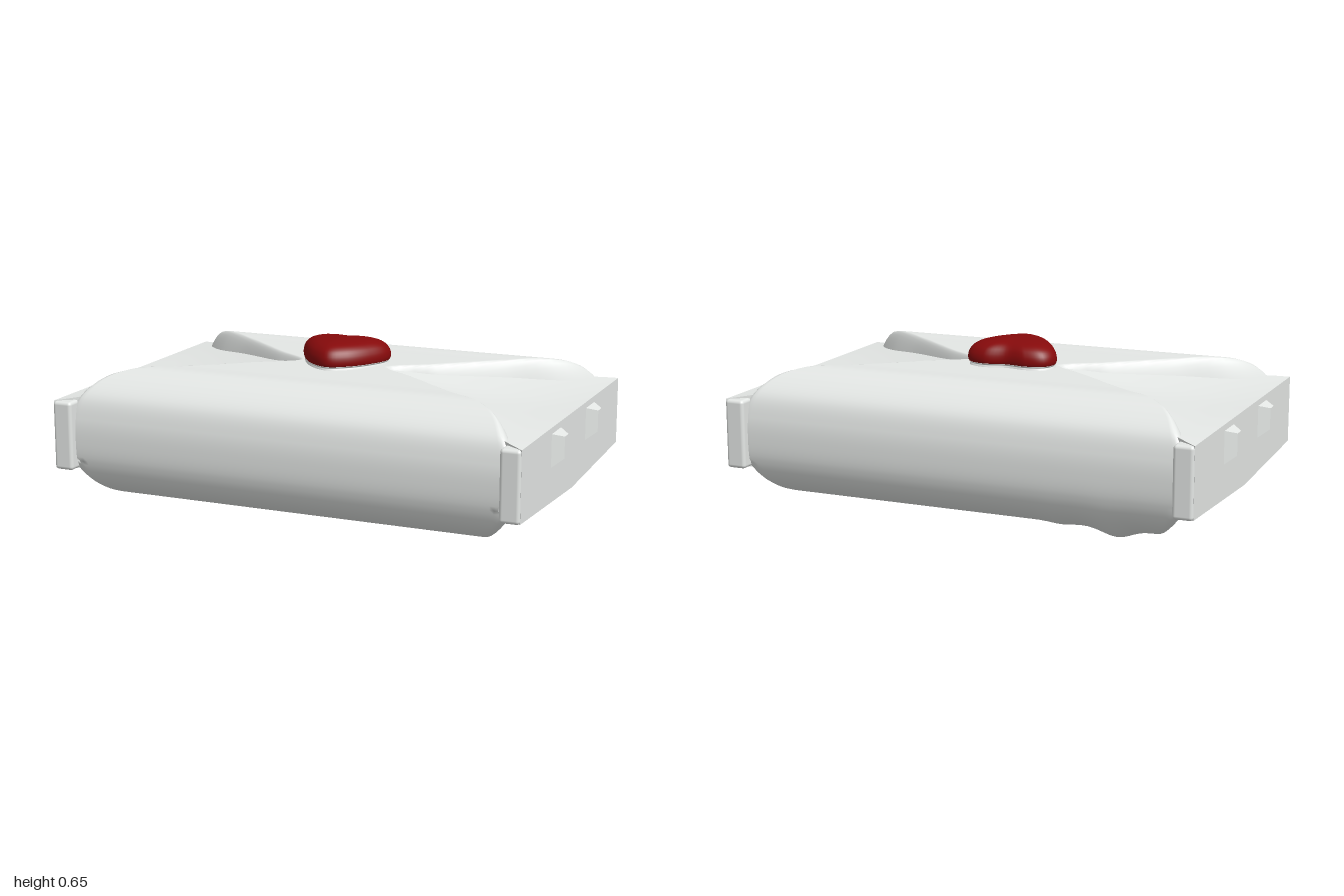
import * as THREE from 'three';
import { ParametricGeometry } from 'three/addons/geometries/ParametricGeometry.js';
import { RoundedBoxGeometry } from 'three/addons/geometries/RoundedBoxGeometry.js';

const paper = new THREE.MeshStandardMaterial({ color: 0xe4e7e5 });
paper.name = 'paper white';
const wax = new THREE.MeshStandardMaterial({ color: 0x860a0b });
wax.name = 'wax red';

function add(parent, name, geometry, material) {
  const mesh = new THREE.Mesh(geometry, material);
  mesh.name = name;
  parent.add(mesh);
  return mesh;
}

// Padded front and back flaps: a closed loop of (half width, y, z) swept across x
function flapsGeometry() {
  const half = [
    [0.39, 0.55, 0.12], [0.61, 0.55, 0.3], [0.78, 0.549, 0.42], [0.87, 0.518, 0.51],
    [0.92, 0.455, 0.585], [0.94, 0.37, 0.612], [0.94, 0.29, 0.618], [0.94, 0.2, 0.61],
    [0.92, 0.13, 0.58], [0.88, 0.07, 0.51], [0.82, 0.033, 0.4], [0.64, 0.046, 0.27],
    [0.42, 0.08, 0.12],
  ];
  const back = half.map(([w, y, z]) => new THREE.Vector3(w, y, -z));
  const front = half.map(([w, y, z]) => new THREE.Vector3(w, y, z)).reverse();
  const loop = new THREE.CatmullRomCurve3([
    new THREE.Vector3(0.24, 0.55, 0), ...back, new THREE.Vector3(0.24, 0.1, 0), ...front,
  ], true);
  const p = new THREE.Vector3();
  return new ParametricGeometry((u, v, target) => {
    loop.getPoint(v, p);
    const t = Math.sin((u - 0.5) * Math.PI);
    const x = p.x * t;
    // tuck the flap edge into the crease
    const band = p.y < 0.2 ? 0.09 : 0.06;
    const k = Math.max(0, 1 - (p.x * (1 - Math.abs(t))) / band) ** 2;
    let y = p.y + (0.29 - p.y) * 0.46 * k;
    // sagging wrinkles under the back flap
    if (p.y < 0.28) {
      y -= 0.032 * Math.exp(-(((x + 0.6) / 0.07) ** 2) - ((p.z + 0.42) / 0.12) ** 2);
      y -= 0.008 * Math.exp(-(((x + 0.38) / 0.05) ** 2) - ((p.z + 0.42) / 0.12) ** 2);
    }
    target.set(x, y, p.z * (1 - 0.03 * k));
  }, 72, 140);
}

// End panel: a wedge narrowing towards the middle, slightly hollow along its centre line
function endGeometry() {
  const g = new THREE.BoxGeometry(1, 1, 1, 10, 1, 8);
  const pos = g.attributes.position;
  for (let i = 0; i < pos.count; i++) {
    const s = pos.getX(i) + 0.5;
    const q = pos.getZ(i) * 2;
    const hollow = 0.1 * s * (1 - s) * (1 - Math.abs(q));
    const y = pos.getY(i) > 0
      ? 0.54 - 0.097 * s - hollow
      : 0.11 + (0.03 + 0.03 * Math.abs(q)) * s;
    pos.setXYZ(i, 0.18 + 0.78 * s, y, q * (0.09 + 0.55 * s));
  }
  g.computeVertexNormals();
  return g;
}

// Small tab that narrows outwards
function tabGeometry() {
  const g = new THREE.BoxGeometry(0.06, 0.15, 0.15);
  const pos = g.attributes.position;
  for (let i = 0; i < pos.count; i++) {
    if (pos.getX(i) < 0) continue;
    pos.setY(i, pos.getY(i) > 0 ? 0.055 : -0.03);
    pos.setZ(i, pos.getZ(i) * 0.3);
  }
  g.computeVertexNormals();
  return g;
}

// Puffy heart: one outline repeated in rings along a domed (scale, y) profile
function heartGeometry(profile) {
  const pts = [
    [0, -0.138], [0.09, -0.158], [0.16, -0.13], [0.186, -0.06], [0.15, 0.04], [0.085, 0.125],
    [0.01, 0.166], [-0.07, 0.125], [-0.145, 0.03], [-0.185, -0.07], [-0.16, -0.13], [-0.09, -0.15],
  ];
  const outline = new THREE.CatmullRomCurve3(pts.map(([x, z]) => new THREE.Vector3(x, 0, z)), true);
  const dome = new THREE.SplineCurve(profile.map(([r, y]) => new THREE.Vector2(r, y)));
  const p = new THREE.Vector3();
  const d = new THREE.Vector2();
  return new ParametricGeometry((u, v, target) => {
    outline.getPoint(u, p);
    dome.getPoint(v, d);
    target.set(p.x * d.x, d.y, p.z * d.x);
  }, 72, 24);
}

export function createModel() {
  const model = new THREE.Group();
  model.name = 'envelope';

  add(model, 'flaps', flapsGeometry(), paper);

  // Both ends are the same part turned half way round
  for (const [name, turn] of [['leftEnd', 0], ['rightEnd', Math.PI]]) {
    const end = new THREE.Group();
    end.name = name;
    end.rotation.y = turn;
    add(end, 'endPanel', endGeometry(), paper);
    for (const s of [-1, 1]) {
      add(end, 'cornerPost', new RoundedBoxGeometry(0.08, 0.275, 0.08, 3, 0.014), paper)
        .position.set(0.92, 0.305, s * 0.61);
      add(end, 'tab', tabGeometry(), paper).position.set(0.97, 0.35, s * 0.225);
    }
    model.add(end);
  }

  // Heart seal on a thin pale rim
  const seal = new THREE.Group();
  seal.name = 'seal';
  seal.position.set(-0.014, 0.545, 0);
  add(seal, 'sealRim', heartGeometry([[0.01, 0.024], [0.9, 0.022], [0.95, 0.012], [0.98, 0]]), paper);
  add(seal, 'heart', heartGeometry([
    [0.005, 0.109], [0.4, 0.106], [0.7, 0.097], [0.88, 0.081], [0.97, 0.06], [1, 0.038], [0.98, 0.02], [0.9, 0.012],
  ]), wax);
  model.add(seal);

  return model;
}
